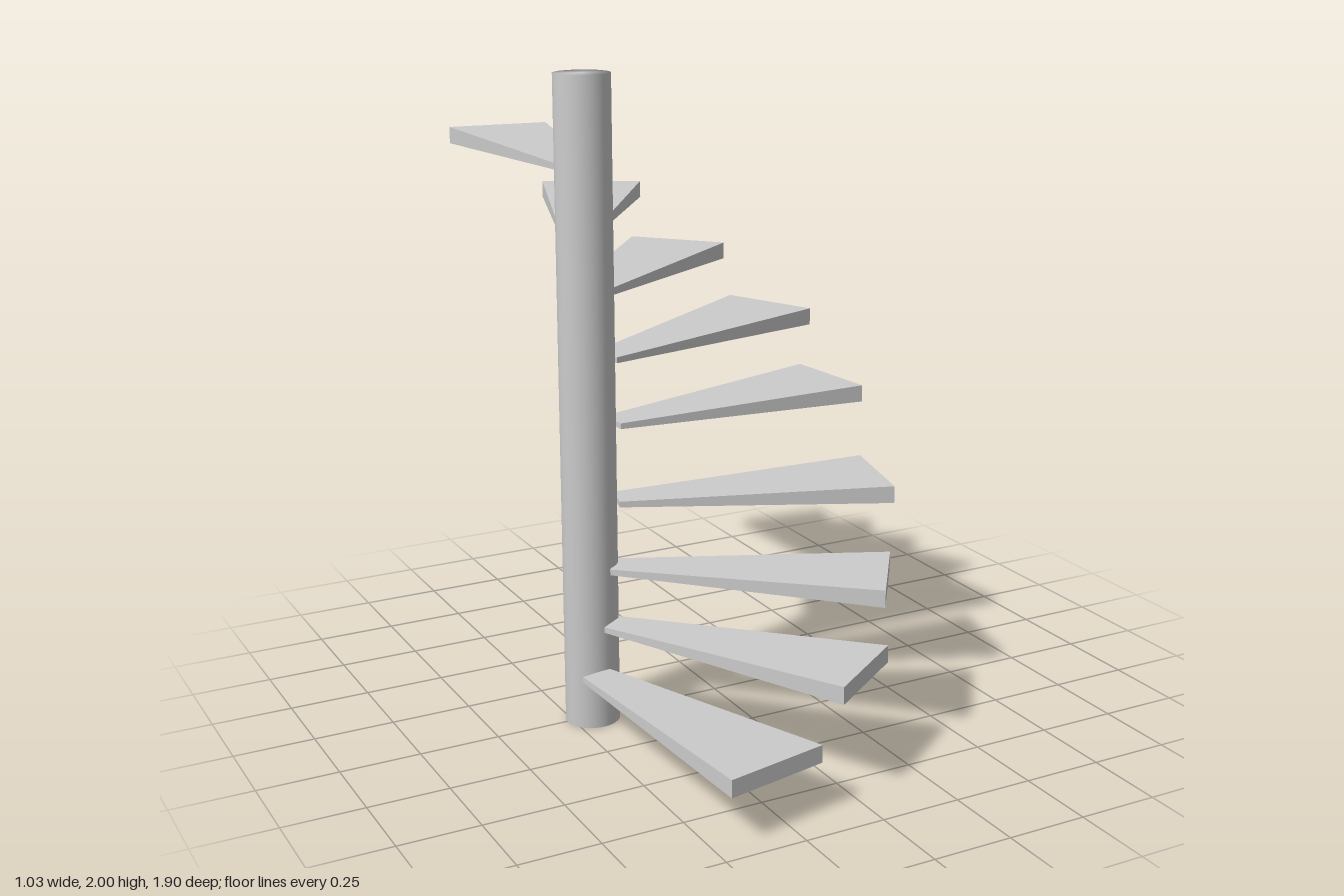
import * as THREE from 'three';
import { mergeVertices } from 'three/addons/utils/BufferGeometryUtils.js';

const LENGTH = 0.836;

// Wedge tread along -x from its wide outer end at the origin,
// narrowing in both width and thickness towards the pole
function treadGeometry() {
  const geo = new THREE.BoxGeometry(LENGTH, 0.054, 0.332);
  geo.translate(-LENGTH / 2, 0, 0);
  const p = geo.attributes.position;
  for (let i = 0; i < p.count; i++) {
    if (p.getX(i) < -LENGTH / 2) {
      p.setY(i, Math.sign(p.getY(i)) * 0.009);
      p.setZ(i, Math.sign(p.getZ(i)) * 0.05);
    }
  }
  geo.computeVertexNormals();
  return geo;
}

// Each tread: height, x and z of the outer end's middle, heading in degrees (90 = front)
const TREADS = [
  [0.178, -0.291, 0.911, 78.3],
  [0.332, 0.082, 0.77, 54.8],
  [0.505, 0.302, 0.537, 35.4],
  [0.708, 0.46, 0.223, 13.8],
  [0.935, 0.497, -0.123, -6.1],
  [1.135, 0.418, -0.39, -23.6],
  [1.32, 0.21, -0.658, -42.0],
  [1.51, -0.021, -0.848, -62.5],
  [1.71, -0.319, -0.937, -84.3],
];

export function createModel() {
  const group = new THREE.Group();
  group.name = 'spiralStaircase';
  const material = new THREE.MeshStandardMaterial({ color: 0xcccccc });

  // Central pole, smooth shaded across its caps
  let poleGeo = new THREE.CylinderGeometry(0.085, 0.085, 2, 32);
  poleGeo.deleteAttribute('normal');
  poleGeo.deleteAttribute('uv');
  poleGeo = mergeVertices(poleGeo);
  poleGeo.computeVertexNormals();
  const pole = new THREE.Mesh(poleGeo, material);
  pole.name = 'centralPole';
  pole.position.set(-0.435, 1, 0.007);
  pole.scale.z = 0.96;
  group.add(pole);

  // Treads fanning up around the pole
  const geo = treadGeometry();
  TREADS.forEach(([y, x, z, heading], i) => {
    const tread = new THREE.Mesh(geo, material);
    tread.name = `tread${i + 1}`;
    tread.position.set(x, y, z);
    tread.rotation.y = -THREE.MathUtils.degToRad(heading);
    group.add(tread);
  });
  return group;
}
